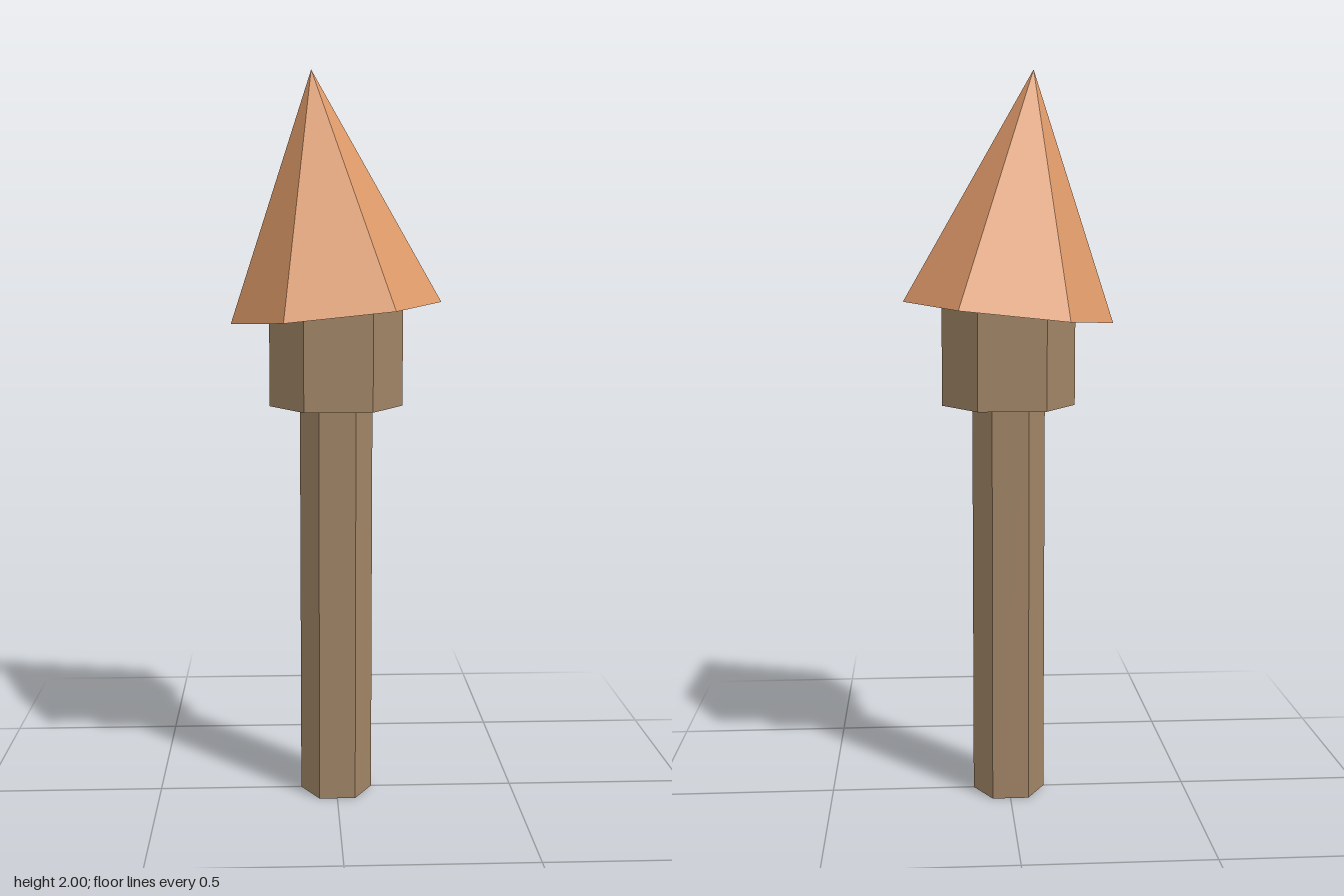
import * as THREE from 'three';

const wood = new THREE.MeshStandardMaterial({ name: 'brownWood', color: 0xa08465, flatShading: true });
const tipColor = new THREE.MeshStandardMaterial({ name: 'copperOrange', color: 0xe09b6a, flatShading: true });

// Upright hexagonal prism or pyramid with corners on the x axis
function hexPart(name, topRadius, bottomRadius, height, centerY, material) {
  const geometry = new THREE.CylinderGeometry(topRadius, bottomRadius, height, 6).rotateY(Math.PI / 6);
  const mesh = new THREE.Mesh(geometry, material);
  mesh.name = name;
  mesh.position.y = centerY;
  return mesh;
}

export function createModel() {
  const model = new THREE.Group();
  model.name = 'hexagonalSpike';

  model.add(hexPart('shaft', 0.1, 0.1, 1.1, 0.55, wood));
  model.add(hexPart('collar', 0.183, 0.183, 0.3, 1.25, wood));

  // Pointed cap, leaning about the centre of its base
  const cap = new THREE.Group();
  cap.name = 'leaningCap';
  cap.position.y = 1.355;
  cap.rotation.z = 0.103;
  cap.add(hexPart('capPyramid', 0, 0.289, 0.648, 0.324, tipColor));
  model.add(cap);

  return model;
}
